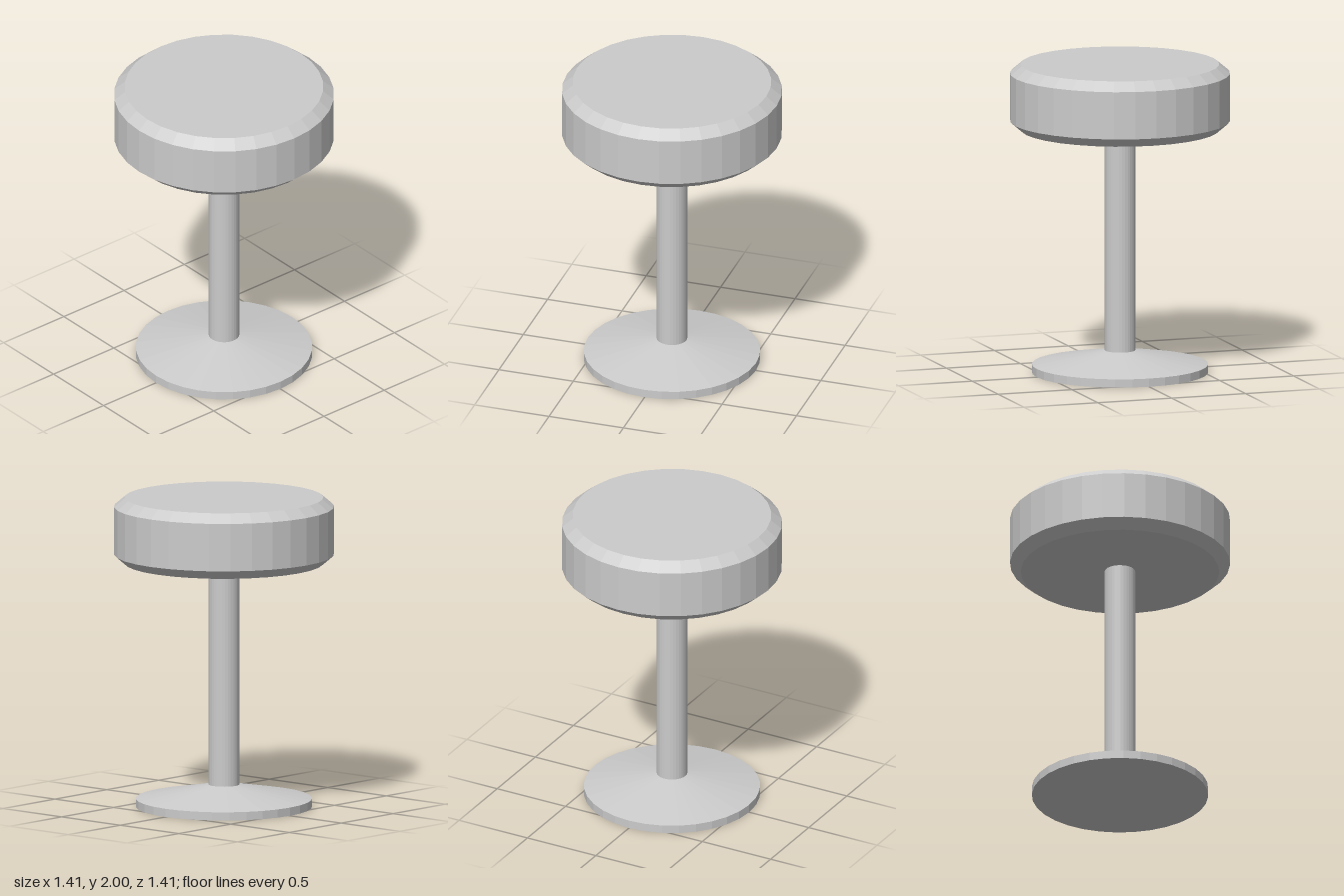
import * as THREE from 'three';

const SIDES = 32;
const material = new THREE.MeshStandardMaterial({ color: 0xcccccc, flatShading: true });

// Revolve a [radius, y] profile, listed from bottom to top
function turned(name, profile) {
  const points = profile.map(([r, y]) => new THREE.Vector2(r, y));
  const mesh = new THREE.Mesh(new THREE.LatheGeometry(points, SIDES), material);
  mesh.name = name;
  return mesh;
}

export function createModel() {
  const stool = new THREE.Group();
  stool.name = 'stool';

  // Disc foot with a shallow cone rising to the column
  stool.add(turned('base', [[0, 0], [0.564, 0], [0.564, 0.053], [0.098, 0.143], [0, 0.143]]));

  // Plain round column, its ends meeting the base and the seat
  const column = new THREE.Mesh(
    new THREE.CylinderGeometry(0.098, 0.098, 1.433, SIDES, 1, true), material);
  column.name = 'column';
  column.position.y = 0.143 + 1.433 / 2;
  stool.add(column);

  // Thick round seat, bevelled at both rims
  stool.add(turned('seat', [
    [0, 1.576], [0.635, 1.576], [0.704, 1.635], [0.704, 1.942], [0.635, 2], [0, 2],
  ]));

  return stool;
}
